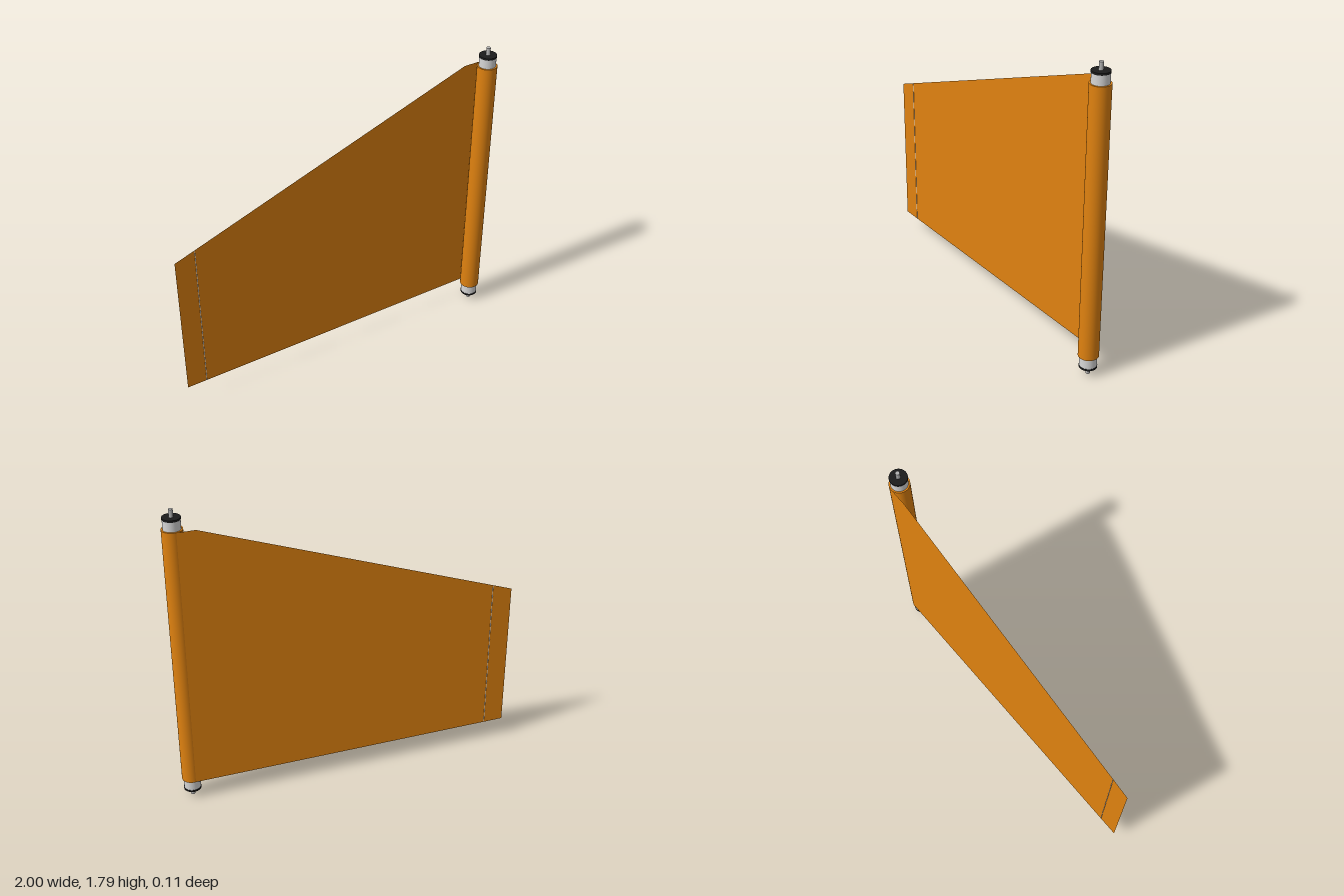
import * as THREE from 'three';

const mat = (name, color, side = THREE.FrontSide) => {
  const m = new THREE.MeshStandardMaterial({ color, side });
  m.name = name;
  return m;
};

export function createModel() {
  const group = new THREE.Group();
  const orange = mat('orange cloth', 0xe08210, THREE.DoubleSide);
  const lightGrey = mat('light grey', 0xd8d8d8);
  const pinGrey = mat('pin grey', 0xb4b4b4);
  const black = mat('black', 0x1c1c1c);

  const axisX = 0.942, rollR = 0.057;
  const bottom = 0.115, top = 1.68, height = 1.79;

  const add = (name, geometry, material, x, y, z) => {
    const mesh = new THREE.Mesh(geometry, material);
    mesh.name = name;
    mesh.position.set(x, y, z);
    group.add(mesh);
    return mesh;
  };
  // upright cylinder between two heights
  const rod = (name, r, y0, y1, material, x = axisX, z = 0, sides = 40) =>
    add(name, new THREE.CylinderGeometry(r, r, y1 - y0, sides), material, x, (y0 + y1) / 2, z);

  // cloth wound around the core
  rod('clothRoll', rollR, bottom, top, orange);

  // core ends, dark end caps and axle pins, mirrored top and bottom
  for (const upper of [false, true]) {
    const side = upper ? 'upper' : 'lower';
    const span = (name, r, y0, y1, material, sides) => upper
      ? rod(side + name, r, height - y1, height - y0, material, axisX, 0, sides)
      : rod(side + name, r, y0, y1, material, axisX, 0, sides);
    span('CoreEnd', 0.048, 0.054, 0.14, lightGrey);
    span('EndCap', 0.05, 0.044, 0.055, black);
    span('AxlePin', 0.012, 0, 0.05, pinGrey, 24);
  }

  // unrolled tapering sheet, tangent to the back of the roll
  const sheet = new THREE.Shape([
    [-1, bottom], [axisX, bottom], [axisX, top], [0.83, top], [-1, 1.02],
  ].map(([x, y]) => new THREE.Vector2(x, y)));
  add('clothSheet', new THREE.ShapeGeometry(sheet), orange, 0, 0, -rollR + 0.001);

  // fine wire running through the hem near the free edge
  rod('hemWire', 0.002, bottom, 1.062, lightGrey, -0.88, -rollR + 0.001, 8);

  return group;
}
